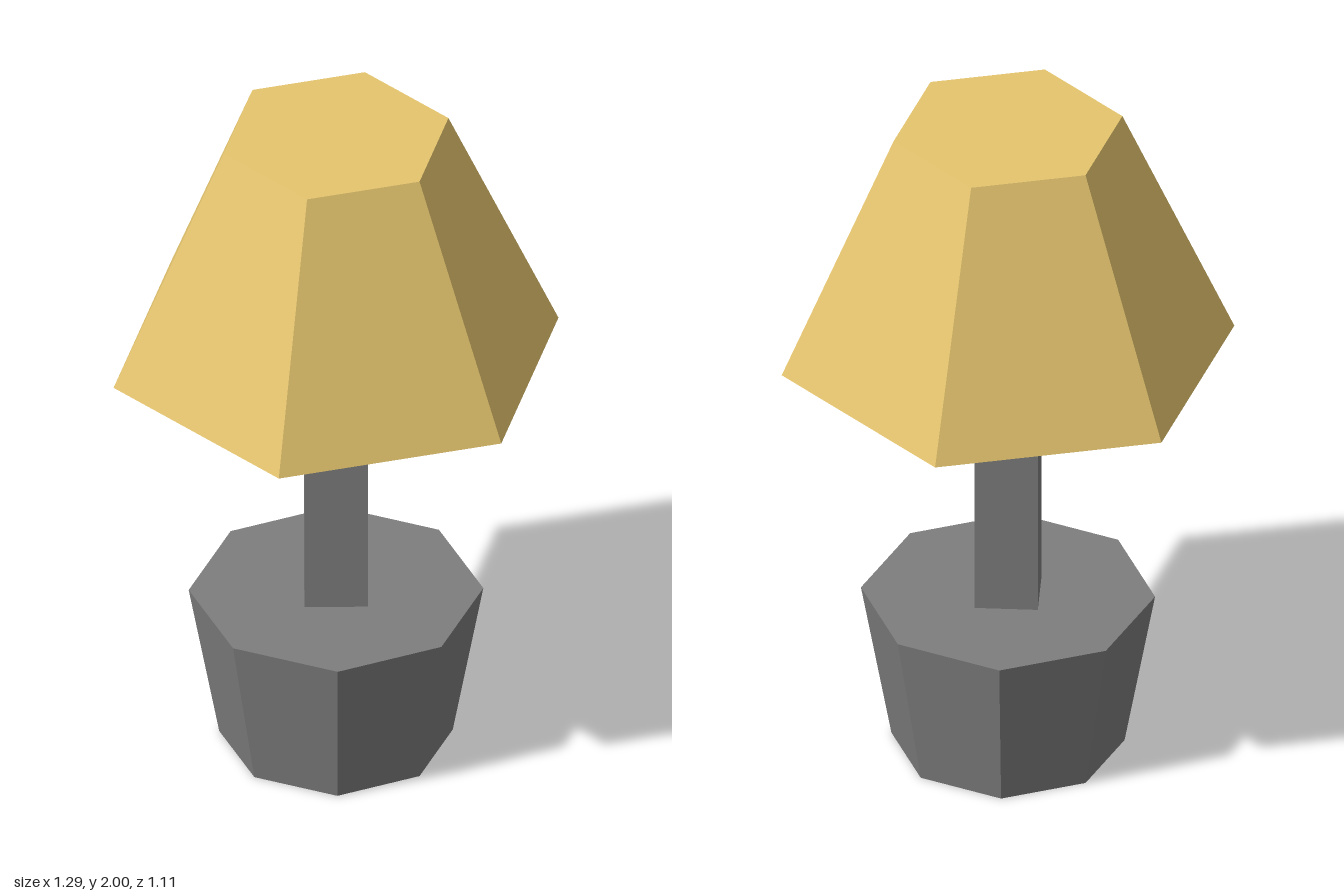
import * as THREE from 'three';

// Faceted prism or frustum standing between two heights
function frustum(name, material, topRadius, bottomRadius, y0, y1, sides, turn = 0) {
  const geometry = new THREE.CylinderGeometry(topRadius, bottomRadius, y1 - y0, sides);
  geometry.rotateY(turn);
  const mesh = new THREE.Mesh(geometry, material);
  mesh.name = name;
  mesh.position.y = (y0 + y1) / 2;
  return mesh;
}

export function createModel() {
  const gold = new THREE.MeshStandardMaterial({ color: 0xe5c56e, flatShading: true });
  gold.name = 'warm gold';
  const grey = new THREE.MeshStandardMaterial({ color: 0x7e7e7e, flatShading: true });
  grey.name = 'grey';

  const lamp = new THREE.Group();
  lamp.name = 'tableLamp';
  lamp.add(
    // Octagonal foot, wider at the top
    frustum('base', grey, 0.41, 0.325, 0, 0.475, 8),
    // Square post with its edges on the axes
    frustum('post', grey, 0.125, 0.125, 0.475, 1.27, 4),
    // Closed hexagonal shade with corners to the left and right
    frustum('shade', gold, 0.325, 0.643, 1.27, 2, 6, Math.PI / 6),
  );
  return lamp;
}
